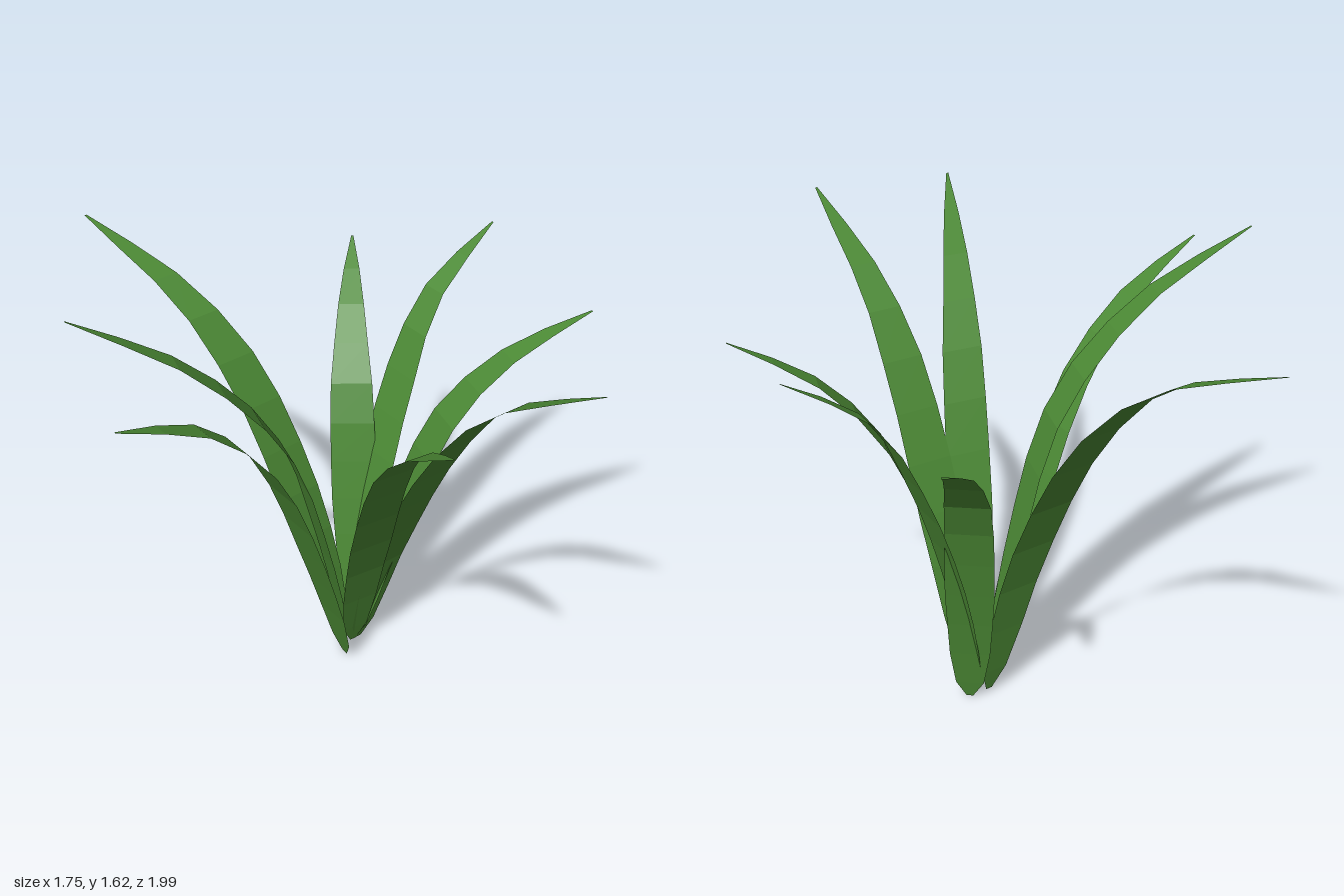
import * as THREE from 'three';

const ROWS = 11;

// Half width of a leaf along its length: x = fraction of length, y = half width
const OUTLINE = [[0, 0.012], [0.045, 0.05], [0.15, 0.073], [0.35, 0.086],
  [0.6, 0.078], [0.87, 0.038], [1, 0.004]].map((p) => new THREE.Vector2(...p));

function halfWidth(t) {
  const i = Math.max(1, OUTLINE.findIndex((p) => p.x >= t));
  const a = OUTLINE[i - 1];
  const b = OUTLINE[i];
  return THREE.MathUtils.mapLinear(t, a.x, b.x, a.y, b.y);
}

// Flat ribbon along a curved midrib; acrossAngle (degrees) turns its width from +x towards +z
function leaf(name, material, acrossAngle, ...midrib) {
  const curve = new THREE.CatmullRomCurve3(midrib.map((p) => new THREE.Vector3(...p)));
  const angle = THREE.MathUtils.degToRad(acrossAngle);
  const across = new THREE.Vector3(Math.cos(angle), 0, Math.sin(angle));

  // Keep the upper face as the front face
  const outward = midrib.at(-1)[0] * across.z - midrib.at(-1)[2] * across.x;
  if (outward > 0) across.negate();

  const positions = [];
  const index = [];
  for (let i = 0; i <= ROWS; i++) {
    // The first row is short, so the base comes to a blunt point
    const t = i === 0 ? 0 : 0.045 + 0.955 * (i - 1) / (ROWS - 1);
    const centre = curve.getPointAt(t);
    for (const s of [-1, 1]) {
      positions.push(...centre.clone().addScaledVector(across, s * halfWidth(Math.min(t, 1))));
    }
    if (i > 0) {
      const a = 2 * (i - 1);
      index.push(a, a + 1, a + 2, a + 1, a + 3, a + 2);
    }
  }
  const geometry = new THREE.BufferGeometry();
  geometry.setAttribute('position', new THREE.Float32BufferAttribute(positions, 3));
  geometry.setIndex(index);
  geometry.computeVertexNormals();
  const mesh = new THREE.Mesh(geometry, material);
  mesh.name = name;
  return mesh;
}

export function createModel() {
  const plant = new THREE.Group();
  plant.name = 'leafyPlant';
  const green = new THREE.MeshStandardMaterial({ color: 0x4c8a35, flatShading: true, side: THREE.DoubleSide });

  // Midribs run from the base in the ground to the arching tip
  plant.add(
    leaf('frontLeaf', green, 0,
      [0.155, 0, -0.02], [0.17, 0.5, 0.13], [0.17, 1.05, 0.39], [0.185, 1.33, 0.6], [0.21, 1.58, 0.99]),
    leaf('frontRightLeaf', green, 7,
      [0.13, 0, -0.02], [0.07, 0.5, 0.13], [-0.045, 1.05, 0.38], [-0.14, 1.29, 0.58], [-0.305, 1.56, 0.94]),
    leaf('rightLeaf', green, 90,
      [0.06, 0, 0.02], [-0.07, 0.42, 0.05], [-0.31, 1.03, 0.08], [-0.55, 1.3, 0.11], [-0.875, 1.455, 0.155]),
    leaf('backRightLeaf', green, 106,
      [0.13, 0, -0.06], [0, 0.5, -0.03], [-0.18, 1.03, -0.025], [-0.46, 1.38, -0.095], [-0.81, 1.62, -0.22]),
    leaf('backLeaf', green, -3,
      [0.14, 0, -0.1], [0.03, 0.6, -0.2], [-0.07, 1.08, -0.39], [-0.17, 1.335, -0.6], [-0.31, 1.52, -1]),
    leaf('backLeftLeaf', green, 37,
      [0.22, 0, -0.1], [0.265, 0.5, -0.19], [0.33, 0.93, -0.3], [0.45, 1.15, -0.46], [0.61, 1.3, -0.66]),
    leaf('leftLeaf', green, 90,
      [0.17, 0, -0.07], [0.285, 0.5, -0.13], [0.43, 0.93, -0.17], [0.6, 1.26, -0.19], [0.875, 1.46, -0.19]),
    leaf('frontLeftLeaf', green, 106,
      [0.17, 0, -0.05], [0.25, 0.5, 0.04], [0.4, 0.98, 0.13], [0.58, 1.21, 0.23], [0.83, 1.36, 0.36]),
  );
  return plant;
}
